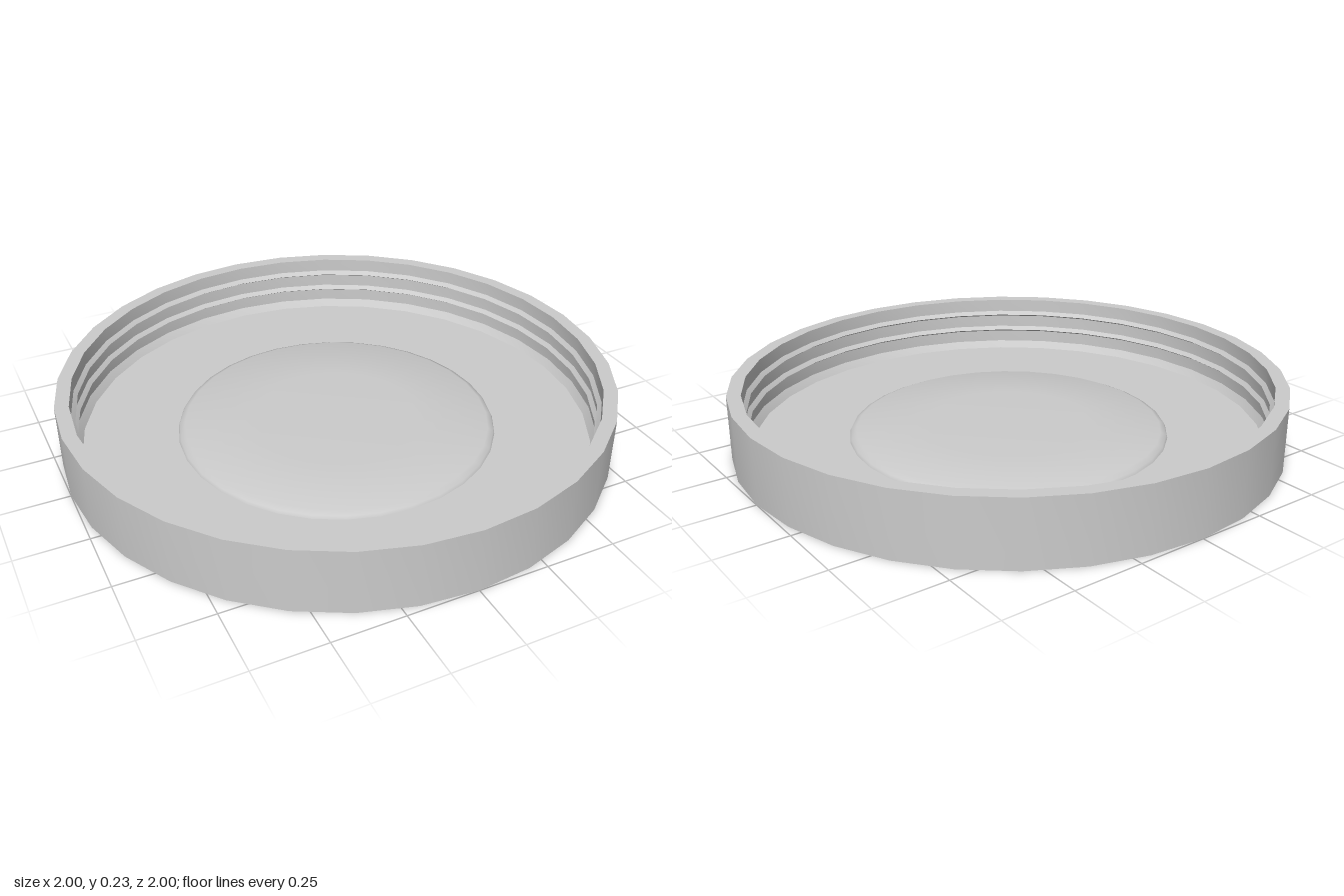
import * as THREE from 'three';
import { toCreasedNormals } from 'three/addons/utils/BufferGeometryUtils.js';

const SIDES = 32;
const FLOOR = 0.018;
const material = new THREE.MeshStandardMaterial({ color: 0xcccccc });

function lathe(name, profile, crease) {
  const points = profile.map(([r, y]) => new THREE.Vector2(r, y));
  const geometry = toCreasedNormals(new THREE.LatheGeometry(points, SIDES), crease);
  const mesh = new THREE.Mesh(geometry, material);
  mesh.name = name;
  return mesh;
}

// Small ridge on the inner wall, listed from top to bottom
const ridge = (y) => [[0.95, y + 0.014], [0.936, y], [0.95, y - 0.008]];

export function createModel() {
  const lid = new THREE.Group();
  lid.name = 'jarLid';

  // Shell: underside, outer wall, rim, ridged inner wall, chamfer and floor
  lid.add(lathe('lidShell', [
    [0, 0], [1, 0], [1, 0.235], [0.95, 0.235],
    ...ridge(0.17), ...ridge(0.1),
    [0.95, 0.045], [0.93, FLOOR], [0, FLOOR],
  ], 0.4));

  // Slightly domed raised panel with a rounded edge
  lid.add(lathe('raisedPanel', [
    [0.585, FLOOR], [0.58, 0.029], [0.56, 0.038], [0.3, 0.046], [0, 0.049],
  ], 0.9));

  return lid;
}
